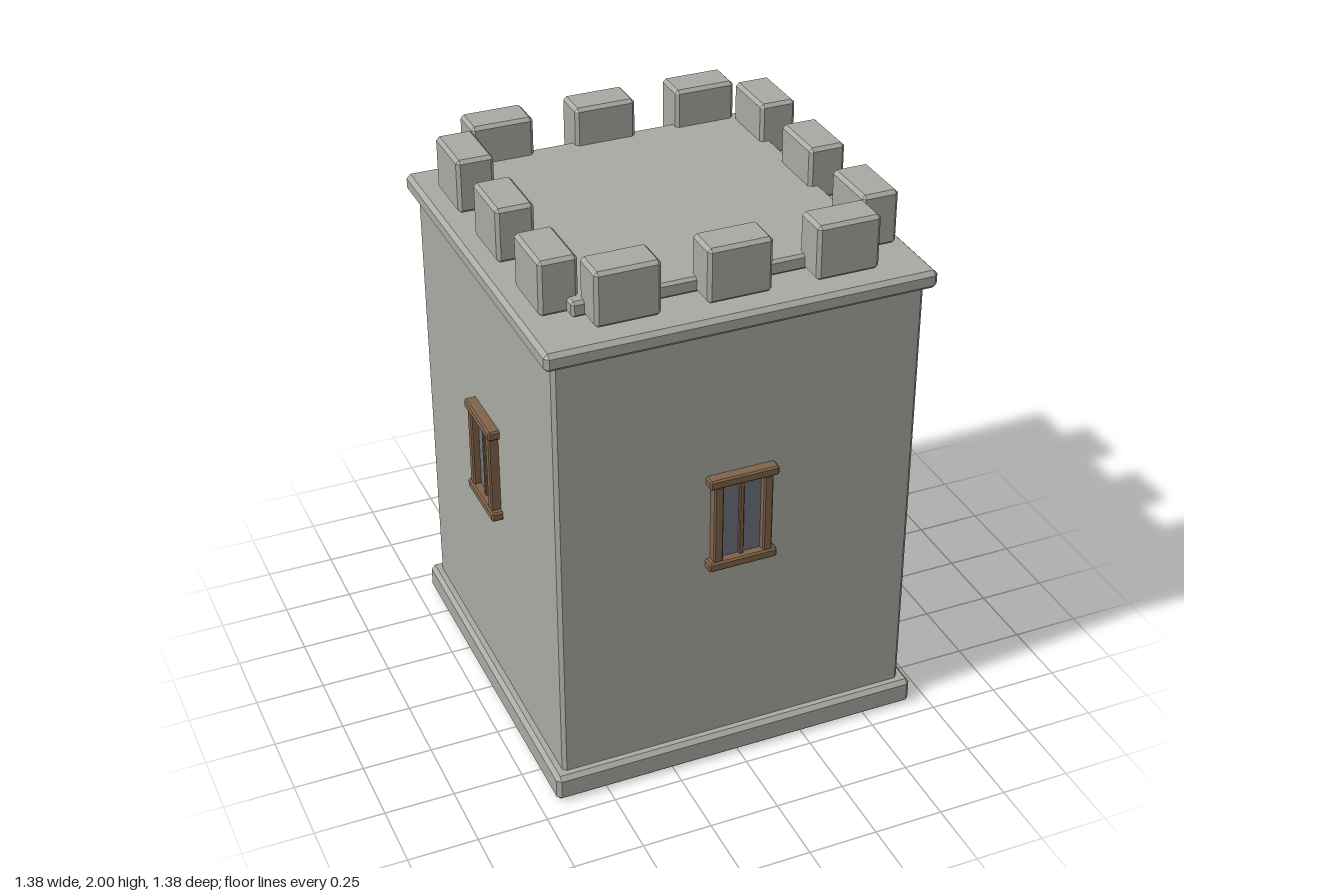
import * as THREE from 'three';
import { ConvexGeometry } from 'three/addons/geometries/ConvexGeometry.js';

const stone = new THREE.MeshStandardMaterial({ color: 0xaaaaa4, flatShading: true });
const wood = new THREE.MeshStandardMaterial({ color: 0x80644a, flatShading: true });
const glass = new THREE.MeshStandardMaterial({ color: 0x70727e, flatShading: true });

// Box with flat chamfers on every edge, given by its size and centre
function block(name, material, [w, h, d], [x, y, z], c) {
  const points = [];
  for (const sx of [-1, 1]) for (const sy of [-1, 1]) for (const sz of [-1, 1]) {
    for (let axis = 0; axis < 3; axis++) {
      const half = [w / 2 - c, h / 2 - c, d / 2 - c];
      half[axis] += c;
      points.push(new THREE.Vector3(sx * half[0], sy * half[1], sz * half[2]));
    }
  }
  const mesh = new THREE.Mesh(new ConvexGeometry(points), material);
  mesh.name = name;
  mesh.position.set(x, y, z);
  return mesh;
}

// Window on the +z wall
function createWindow() {
  const g = new THREE.Group();
  g.name = 'window';
  g.add(block('lintel', wood, [0.25, 0.035, 0.05], [0, 1.163, 0.665], 0.006));
  g.add(block('sill', wood, [0.25, 0.035, 0.05], [0, 0.833, 0.665], 0.006));
  for (const s of [-1, 1]) {
    g.add(block('jamb', wood, [0.034, 0.3, 0.045], [s * 0.09, 0.998, 0.6625], 0.005));
  }
  g.add(block('mullion', wood, [0.016, 0.3, 0.03], [0, 0.998, 0.655], 0.003));
  const pane = new THREE.Mesh(new THREE.BoxGeometry(0.155, 0.3, 0.02), glass);
  pane.name = 'pane';
  pane.position.set(0, 0.998, 0.648);
  g.add(pane);
  return g;
}

// Three merlons along the +z edge
function createMerlonRow() {
  const g = new THREE.Group();
  g.name = 'merlonRow';
  for (const x of [-0.38, 0, 0.38]) {
    g.add(block('merlon', stone, [0.224, 0.195, 0.132], [x, 1.9025, 0.559], 0.012));
  }
  return g;
}

export function createModel() {
  const model = new THREE.Group();
  model.name = 'tower';
  model.add(block('plinth', stone, [1.37, 0.1, 1.37], [0, 0.05, 0], 0.015));
  model.add(block('walls', stone, [1.3, 1.71, 1.3], [0, 0.89, 0], 0.013));
  model.add(block('cornice', stone, [1.365, 0.065, 1.365], [0, 1.7525, 0], 0.015));
  model.add(block('roofDeck', stone, [1.07, 0.056, 1.07], [0, 1.833, 0], 0.01));

  // The same window and battlements on all four sides
  for (let i = 0; i < 4; i++) {
    const side = new THREE.Group();
    side.name = ['frontSide', 'leftSide', 'backSide', 'rightSide'][i];
    side.rotation.y = i * Math.PI / 2;
    side.add(createWindow(), createMerlonRow());
    model.add(side);
  }
  return model;
}
